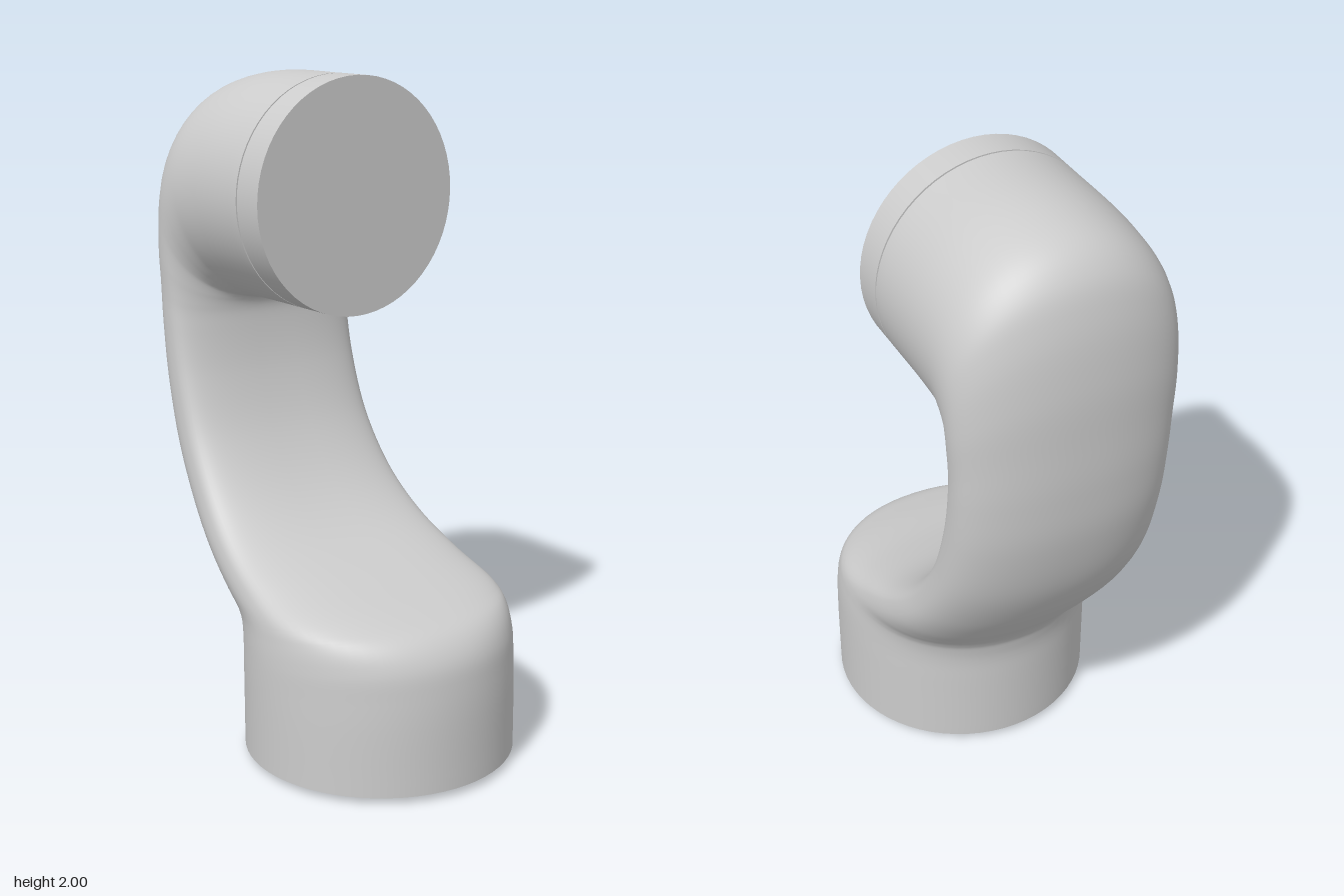
import * as THREE from 'three';

const material = new THREE.MeshStandardMaterial({ color: 0xcccccc });
const v = (x, y, z) => new THREE.Vector3(x, y, z);

// Front edge of the side profile from base to head: z, y, half width there
const FRONT = [
  v(0.597, 0.02, 0.407), v(0.589, 0.3, 0.407), v(0.57, 0.4, 0.405), v(0.52, 0.46, 0.4),
  v(0.42, 0.495, 0.395), v(0.2, 0.55, 0.383), v(0, 0.63, 0.367), v(-0.14, 0.74, 0.35),
  v(-0.255, 0.9, 0.337), v(-0.325, 1.08, 0.331), v(-0.352, 1.23, 0.33), v(-0.353, 1.28, 0.332),
  v(-0.345, 1.302, 0.338), v(-0.335, 1.308, 0.342), v(-0.315, 1.308, 0.345),
  v(-0.28, 1.308, 0.346), v(-0.2, 1.308, 0.346), v(-0.032, 1.308, 0.346),
];

// Matching back edge: z, y, flatness of the front face (0 is a plain ellipse)
const BACK = [
  v(-0.215, 0.02, 0), v(-0.215, 0.25, 0), v(-0.215, 0.33, 0.05), v(-0.222, 0.39, 0.2),
  v(-0.235, 0.43, 0.5), v(-0.27, 0.485, 0.8), v(-0.34, 0.575, 1), v(-0.43, 0.7, 1),
  v(-0.52, 0.87, 1), v(-0.575, 1.07, 1), v(-0.594, 1.25, 0.85), v(-0.597, 1.42, 0.65),
  v(-0.594, 1.6, 0.4), v(-0.57, 1.78, 0.2), v(-0.53, 1.89, 0.1),
  v(-0.45, 1.96, 0), v(-0.3, 1.995, 0), v(-0.032, 2, 0),
];

// Skin of rounded cross-sections, each spanning from the front edge to the back edge
function loftGeometry(rows = 102, sides = 64) {
  const frontCurve = new THREE.CatmullRomCurve3(FRONT);
  const backCurve = new THREE.CatmullRomCurve3(BACK);
  const positions = [];
  const index = [];
  for (let j = 0; j <= rows; j++) {
    const f = frontCurve.getPoint(j / rows);
    const b = backCurve.getPoint(j / rows);
    const flat = Math.max(0, b.z);
    const widest = 0.5 - 0.13 * flat;
    for (let i = 0; i < sides; i++) {
      const angle = (i / sides) * Math.PI * 2;
      const c = Math.cos(angle);
      const s = Math.sin(angle);
      const power = 2 / (2 + flat * (c > 0 ? 1 : 0.2));
      const depth = Math.abs(c) ** power;
      const k = c > 0 ? widest * (1 - depth) : widest + (1 - widest) * depth;
      positions.push(
        f.z * Math.sign(s) * Math.abs(s) ** power,
        f.y + (b.y - f.y) * k,
        f.x + (b.x - f.x) * k,
      );
      if (j < rows) {
        const p = j * sides + i;
        const q = j * sides + ((i + 1) % sides);
        index.push(p, q, q + sides, p, q + sides, p + sides);
      }
    }
  }
  const geometry = new THREE.BufferGeometry();
  geometry.setAttribute('position', new THREE.Float32BufferAttribute(positions, 3));
  geometry.setIndex(index);
  geometry.computeVertexNormals();
  return geometry;
}

export function createModel() {
  const group = new THREE.Group();
  const add = (name, geometry, y, z) => {
    const mesh = new THREE.Mesh(geometry, material);
    mesh.name = name;
    mesh.position.set(0, y, z);
    group.add(mesh);
  };
  // Disc whose axis runs along z, centred on the head
  const headDisc = (name, radius, back, front) => add(
    name,
    new THREE.CylinderGeometry(radius, radius, front - back, 64).rotateX(Math.PI / 2),
    1.654,
    (front + back) / 2,
  );

  // Base, curved arm and head in one continuous skin
  add('curvedBody', loftGeometry(), 0, 0);

  // Underside and the small foot below it
  add('baseUnderside', new THREE.CircleGeometry(0.407, 64).rotateX(Math.PI / 2), 0.02, 0.191);
  add('foot', new THREE.CylinderGeometry(0.22, 0.22, 0.02, 48), 0.01, 0.191);

  // Head closure, recessed seam and front cover
  add('headClosure', new THREE.CircleGeometry(0.346, 64), 1.654, -0.032);
  headDisc('seamGroove', 0.338, -0.05, -0.02);
  headDisc('frontCover', 0.346, -0.026, 0.076);

  return group;
}
